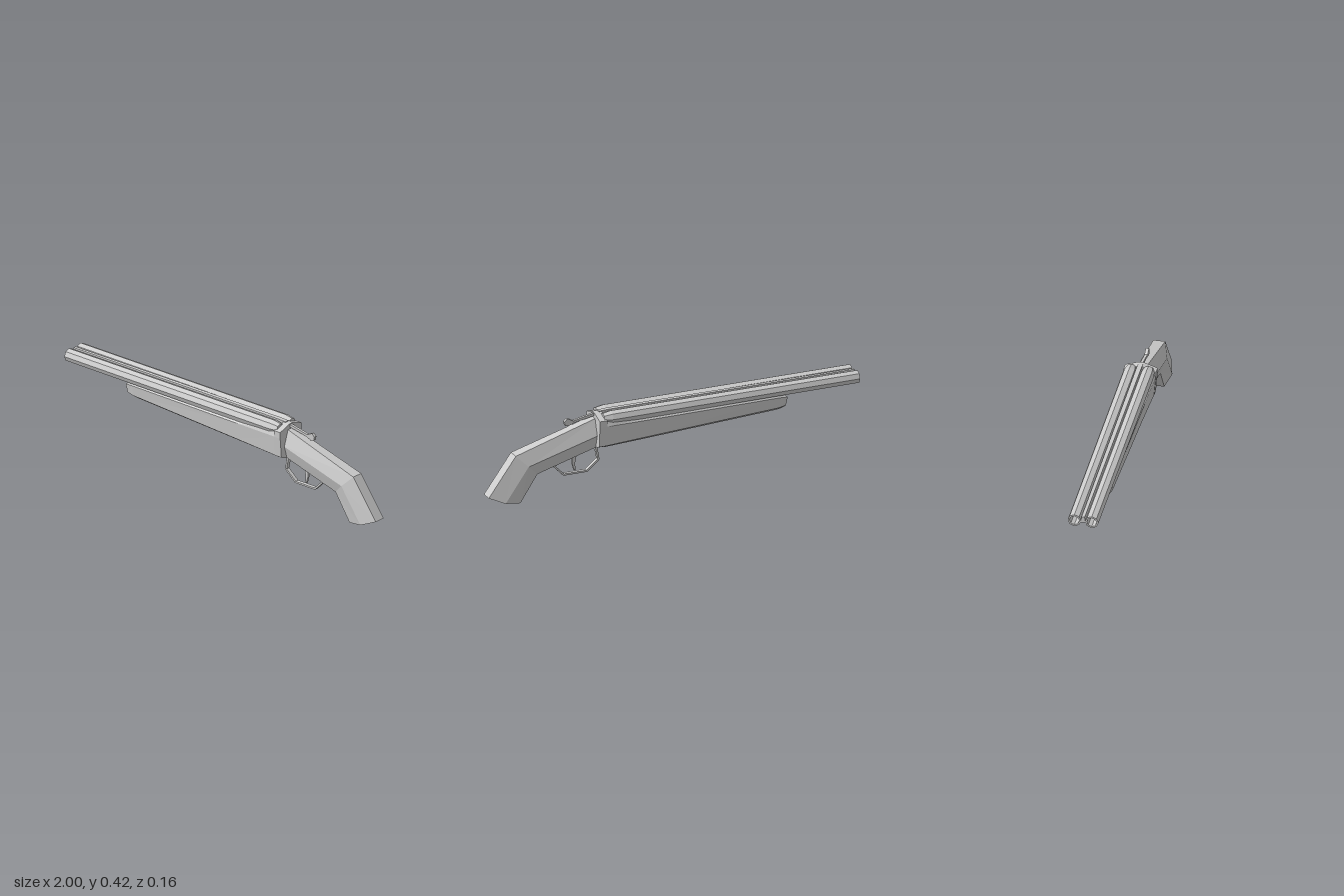
import * as THREE from 'three';

const material = new THREE.MeshStandardMaterial({ color: 0xcccccc, flatShading: true });

function add(group, name, geometry) {
  const mesh = new THREE.Mesh(geometry, material);
  mesh.name = name;
  group.add(mesh);
  return mesh;
}

// Joins mirrored cross-sections; each lists [x, y, halfWidth] from top to bottom.
function loft(sections) {
  const rings = sections.map(half => [
    ...half,
    ...half.slice().reverse().map(([x, y, z]) => [x, y, -z]),
  ]);
  const n = rings[0].length;
  const pos = [];
  const tri = (a, b, c) => pos.push(...a, ...b, ...c);
  for (let s = 0; s < rings.length - 1; s++) {
    for (let i = 0; i < n; i++) {
      const j = (i + 1) % n;
      tri(rings[s][i], rings[s][j], rings[s + 1][i]);
      tri(rings[s][j], rings[s + 1][j], rings[s + 1][i]);
    }
  }
  const first = rings[0], last = rings[rings.length - 1];
  for (let i = 1; i < n - 1; i++) {
    tri(first[0], first[i + 1], first[i]);
    tri(last[0], last[i], last[i + 1]);
  }
  const geometry = new THREE.BufferGeometry();
  geometry.setAttribute('position', new THREE.Float32BufferAttribute(pos, 3));
  geometry.computeVertexNormals();
  return geometry;
}

// Side outline extruded evenly about the centre plane.
function plate(points, width) {
  const shape = new THREE.Shape(points.map(([x, y]) => new THREE.Vector2(x, y)));
  return new THREE.ExtrudeGeometry(shape, { depth: width, bevelEnabled: false })
    .translate(0, 0, -width / 2);
}

export function createModel() {
  const model = new THREE.Group();

  // Two hollow octagonal barrels, chamfered at the breech
  const barrelProfile = [
    [0, 0.2], [0.025, 0.2], [0.025, -1], [0.034, -1],
    [0.036, 0.34], [0.028, 0.385], [0, 0.385],
  ].map(([r, x]) => new THREE.Vector2(r, x));
  for (const side of [1, -1]) {
    const barrel = add(model, side > 0 ? 'frontBarrel' : 'backBarrel',
      new THREE.LatheGeometry(barrelProfile, 8).rotateZ(-Math.PI / 2));
    barrel.position.set(0, 0.387, side * 0.044);
  }

  // Rib between the barrels
  add(model, 'barrelRib', loft([
    [[-1, 0.413, 0.008], [-1, 0.38, 0.012]],
    [[0.34, 0.418, 0.012], [0.34, 0.38, 0.012]],
    [[0.39, 0.416, 0.012], [0.39, 0.38, 0.012]],
  ]));

  // Tapered fore-end under the barrels
  add(model, 'foreEnd', loft([
    [[-0.6, 0.358, 0.05], [-0.615, 0.345, 0.058], [-0.608, 0.3, 0.052], [-0.595, 0.28, 0.03]],
    [[-0.57, 0.358, 0.058], [-0.57, 0.35, 0.064], [-0.565, 0.295, 0.058], [-0.56, 0.277, 0.034]],
    [[0.12, 0.362, 0.066], [0.12, 0.352, 0.074], [0.12, 0.262, 0.066], [0.12, 0.245, 0.042]],
    [[0.38, 0.385, 0.07], [0.38, 0.355, 0.08], [0.38, 0.25, 0.072], [0.38, 0.236, 0.05]],
  ]));

  // Receiver block behind the barrels
  const receiver = x => [
    [x, 0.412, 0.012], [x, 0.388, 0.082], [x, 0.355, 0.082], [x, 0.25, 0.073], [x, 0.237, 0.045],
  ];
  add(model, 'receiver', loft([receiver(0.375), receiver(0.416)]));

  // Six-sided pistol-grip stock
  add(model, 'stock', loft([
    [[0.4, 0.389, 0.022], [0.4, 0.305, 0.05], [0.4, 0.238, 0.03]],
    [[0.85, 0.256, 0.03], [0.79, 0.197, 0.052], [0.733, 0.142, 0.03]],
    [[0.997, 0.055, 0.03], [0.915, 0.021, 0.052], [0.825, 0.002, 0.03]],
  ]));

  // Opening lever with its thumb knob
  add(model, 'leverArm', plate([
    [0.38, 0.412], [0.42, 0.407], [0.53, 0.384], [0.53, 0.372], [0.42, 0.392], [0.38, 0.392],
  ], 0.014));
  add(model, 'leverKnob', plate([
    [0.515, 0.376], [0.54, 0.392], [0.56, 0.4], [0.576, 0.386], [0.572, 0.366], [0.555, 0.361],
  ], 0.016));

  // Trigger guard loop
  add(model, 'triggerGuard', plate([
    [0.4, 0.24], [0.386, 0.157], [0.452, 0.102], [0.582, 0.102], [0.637, 0.158], [0.61, 0.185],
    [0.602, 0.18], [0.624, 0.158], [0.578, 0.111], [0.456, 0.111], [0.396, 0.161], [0.412, 0.24],
  ], 0.02));

  // Curved trigger
  add(model, 'trigger', plate([
    [0.505, 0.215], [0.518, 0.155], [0.514, 0.122], [0.522, 0.12], [0.532, 0.155], [0.53, 0.205],
  ], 0.012));

  return model;
}
